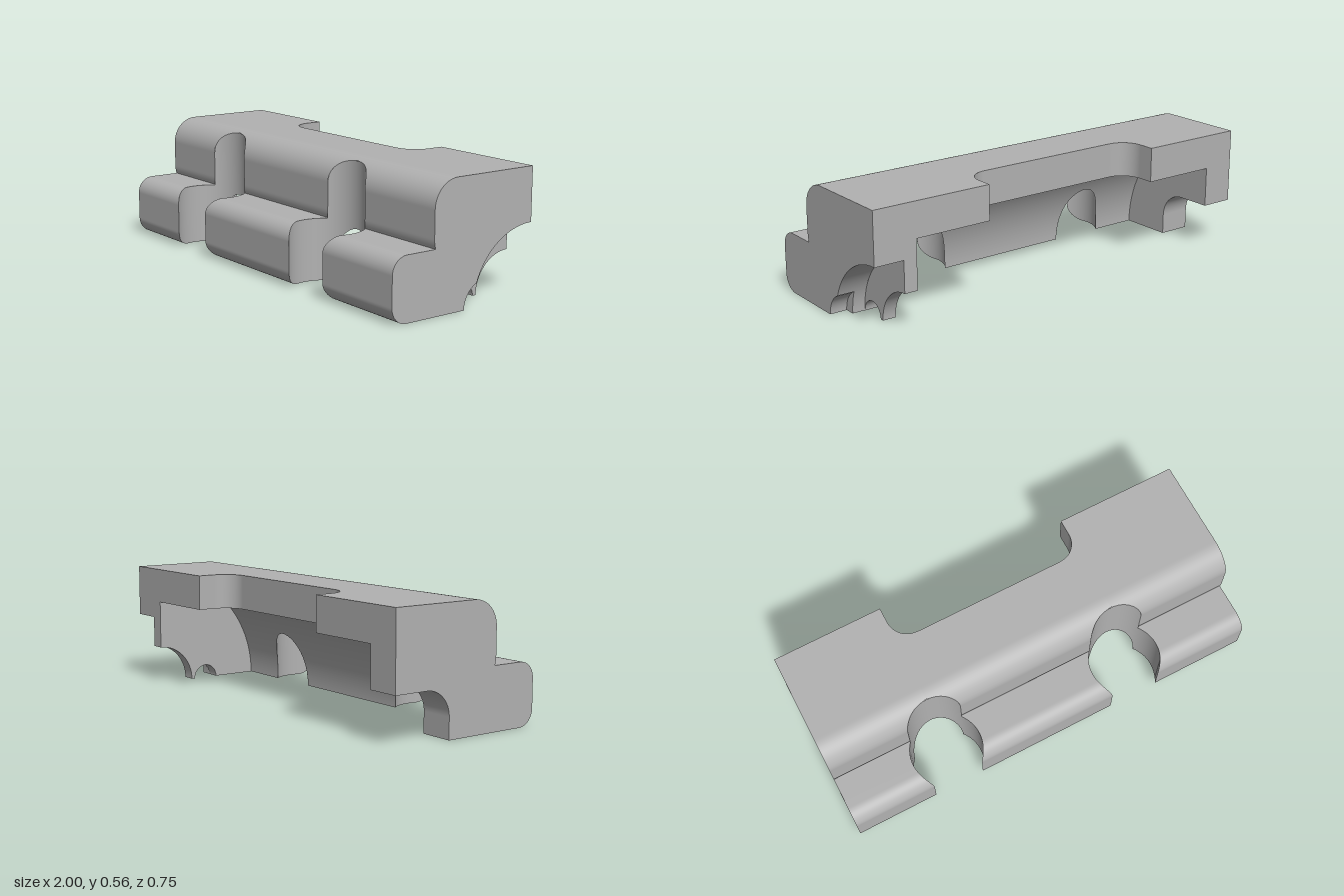
import * as THREE from 'three';

// Profiles are lists of [z, y]; parts are swept along x.
const SLOTS = [-0.492, 0.426], SLOT_Z = 0.262, SLOT_R = 0.165;
const BACK = -0.375, TOP = 0.56, CEIL = 0.4, CAV_R = 0.532;
const CAV_X0 = -0.845, CAV_X1 = 0.797, BORE_X = 0.86, COUNTER_X = 0.92;
const REC_X0 = -0.485, REC_X1 = 0.43, REC_Z = -0.2, REC_R = 0.1;

function arc(cz, cy, r, a0, a1, n = 28) {
  return Array.from({ length: n + 1 }, (_, i) => {
    const a = THREE.MathUtils.degToRad(a0 + (a1 - a0) * i / n);
    return [cz + r * Math.cos(a), cy + r * Math.sin(a)];
  });
}

// Split a profile into short steps so that cut edges follow their curves
function dense(pts, step) {
  const out = [pts[0]];
  for (let i = 1; i < pts.length; i++) {
    const [a, b] = [pts[i - 1], pts[i]];
    const n = Math.max(1, Math.ceil(Math.hypot(b[0] - a[0], b[1] - a[1]) / step));
    for (let k = 1; k <= n; k++) out.push([a[0] + (b[0] - a[0]) * k / n, a[1] + (b[1] - a[1]) * k / n]);
  }
  return out;
}

// Ribbon between pairs of 3D points
function ribbon(pairs) {
  const pos = [], idx = [];
  pairs.forEach(([a, b], i) => {
    pos.push(...a, ...b);
    if (i) { const k = 2 * i; idx.push(k - 2, k - 1, k, k - 1, k + 1, k); }
  });
  const g = new THREE.BufferGeometry();
  g.setAttribute('position', new THREE.Float32BufferAttribute(pos, 3));
  g.setIndex(idx);
  g.computeVertexNormals();
  return g;
}

// Gaps left in swept surfaces
const slotCuts = z => {
  const h = Math.sqrt(Math.max(0, SLOT_R ** 2 - (z - SLOT_Z) ** 2));
  return SLOTS.map(c => [c - h, c + h]);
};
const recessCuts = z => {
  const d = Math.max(0, z - (REC_Z - REC_R));
  const inset = REC_R - Math.sqrt(Math.max(0, REC_R ** 2 - d * d));
  return [[REC_X0 + inset, REC_X1 - inset]];
};

export function createModel() {
  const group = new THREE.Group();
  const gray = new THREE.MeshStandardMaterial({ color: 0xb2b2b2, side: THREE.DoubleSide });
  const add = (name, geo) => {
    const m = new THREE.Mesh(geo, gray);
    m.name = name;
    group.add(m);
  };
  const sweep = (name, profile, x0, x1, cuts) => {
    const pts = cuts ? dense(profile, 0.004) : profile;
    const rows = pts.map(([z, y]) => [x0, ...(cuts ? cuts(z).flat() : []), x1].map(x => [x, y, z]));
    for (let s = 0; s < rows[0].length; s += 2) add(name, ribbon(rows.map(r => [r[s], r[s + 1]])));
  };
  const face = (name, x, pts) => {
    const g = new THREE.ShapeGeometry(new THREE.Shape(pts.map(p => new THREE.Vector2(...p))));
    add(name, g.rotateY(-Math.PI / 2).translate(x, 0, 0));
  };

  // Profiles
  const upper = [...arc(0.04, 0.44, 0.12, 90, 0), ...arc(0.04, 0.32, 0.12, 0, -19.5, 8)];
  const shelfZ = upper[upper.length - 1][0];
  const lower = [[shelfZ, 0.28], ...arc(0.3, 0.205, 0.075, 90, 0), ...arc(0.3, 0.075, 0.075, 0, -90)];
  const cavity = arc(BACK, 0, CAV_R, 0, THREE.MathUtils.radToDeg(Math.asin(CEIL / CAV_R)), 40);
  const cavFoot = cavity[0][0], ceilZ = cavity[cavity.length - 1][0];
  const bore = arc(BACK, 0, 0.32, 0, 90, 40);
  const boreUpper = arc(BACK, 0, 0.32, 19.2, 90, 40);
  const counter = arc(-0.12, 0, 0.115, 0, 65.9);
  const shaft = arc(BACK, 0, 0.175, 0, 90);
  const notch = arc(-0.12, 0, 0.0625, 0, 180);
  const tunnel = [[-0.093, 0], ...arc(-0.213, 0.095, 0.12, 0, 90), [BACK, 0.215]];
  const outline = [[BACK, TOP], ...upper, ...lower];

  // Outer shell
  sweep('upperBody', [[REC_Z, TOP], ...upper], -1, 1, slotCuts);
  sweep('lowerBody', [...lower, [cavFoot, 0]], -1, 1, slotCuts);
  sweep('topBack', [[BACK, TOP], [REC_Z, TOP]], -1, 1, recessCuts);

  // Curved cavity and its ceiling
  sweep('cavityWall', cavity, CAV_X0, CAV_X1, slotCuts);
  sweep('cavityCeiling', [[ceilZ, CEIL], [REC_Z, CEIL]], CAV_X0, CAV_X1);
  sweep('ceilingBack', [[REC_Z, CEIL], [BACK, CEIL]], CAV_X0, CAV_X1, recessCuts);

  // Upright round slots through the front
  const slotTop = (z, inner) => inner
    ? 0.44 + Math.sqrt(Math.max(0, 0.12 ** 2 - (z - 0.04) ** 2))
    : 0.205 + Math.sqrt(Math.max(0, 0.075 ** 2 - Math.max(0, z - 0.3) ** 2));
  const slotBottom = z => z < cavFoot
    ? Math.sqrt(CAV_R ** 2 - (z - BACK) ** 2)
    : 0.075 - Math.sqrt(Math.max(0, 0.075 ** 2 - Math.max(0, z - 0.3) ** 2));
  const aStep = Math.acos((SLOT_Z - 0.16) / SLOT_R);
  const aEnd = Math.acos((SLOT_Z - 0.375) / SLOT_R);
  for (const c of SLOTS) {
    for (const [a0, a1, inner] of [[-aEnd, -aStep, false], [-aStep, aStep, true], [aStep, aEnd, false]]) {
      const pairs = [];
      for (let i = 0; i <= 60; i++) {
        const a = a0 + (a1 - a0) * i / 60;
        const x = c + SLOT_R * Math.sin(a), z = SLOT_Z - SLOT_R * Math.cos(a);
        pairs.push([[x, slotBottom(z), z], [x, slotTop(z, inner), z]]);
      }
      add('slotWall', ribbon(pairs));
    }
  }

  // Rounded recess in the back edge
  const cz = REC_Z - REC_R;
  const plan = [
    [REC_X0, BACK], ...arc(REC_X0 + REC_R, cz, REC_R, 180, 90, 16),
    ...arc(REC_X1 - REC_R, cz, REC_R, 90, 0, 16), [REC_X1, BACK],
  ];
  add('recessWall', ribbon(plan.map(([x, z]) => [[x, CEIL, z], [x, TOP, z]])));

  // Back faces: [x0, x1, lowest y]
  for (const [x0, x1, y] of [[-1, CAV_X0, 0.215], [CAV_X0, REC_X0, CEIL], [REC_X1, CAV_X1, CEIL],
    [CAV_X1, BORE_X, 0.175], [BORE_X, 1, 0.32]]) {
    sweep('backFace', [[BACK, y], [BACK, TOP]], x0, x1);
  }

  // Undersides of the end walls: [x0, x1, z0, z1]
  for (const [x0, x1, z0, z1] of [[-1, CAV_X0, cavFoot, -0.093], [CAV_X1, 1, cavFoot, -0.005],
    [CAV_X1, COUNTER_X, -0.005, -0.055], [CAV_X1, BORE_X, -0.055, -0.0575],
    [CAV_X1, BORE_X, -0.1825, -0.2]]) {
    sweep('underside', [[z0, 0], [z1, 0]], x0, x1);
  }

  // Stepped bores of the right end, and the tunnel of the left end
  sweep('mainBore', boreUpper, BORE_X, 1);
  sweep('mainBoreFoot', arc(BACK, 0, 0.32, 0, 19.2, 10), BORE_X, COUNTER_X);
  sweep('counterbore', counter, COUNTER_X, 1);
  sweep('shaftHole', shaft, CAV_X1, BORE_X);
  sweep('smallHole', notch, CAV_X1, BORE_X);
  sweep('tunnel', tunnel, -1, CAV_X0);

  // Flat faces across x
  const holes = [...notch, ...shaft];
  const cavityBack = [[BACK, CEIL], ...[...cavity].reverse()];
  face('endFacePlus', 1, [...outline, ...counter, ...boreUpper]);
  face('counterboreStep', COUNTER_X, [...counter, ...arc(BACK, 0, 0.32, 19.2, 0, 10)]);
  face('boreWall', BORE_X, [...holes, ...[...bore].reverse()]);
  face('cavityEndPlus', CAV_X1, [...holes, ...cavityBack]);
  face('cavityEndMinus', CAV_X0, [...tunnel, ...cavityBack]);
  face('endFaceMinus', -1, [...outline, ...tunnel]);

  return group;
}
